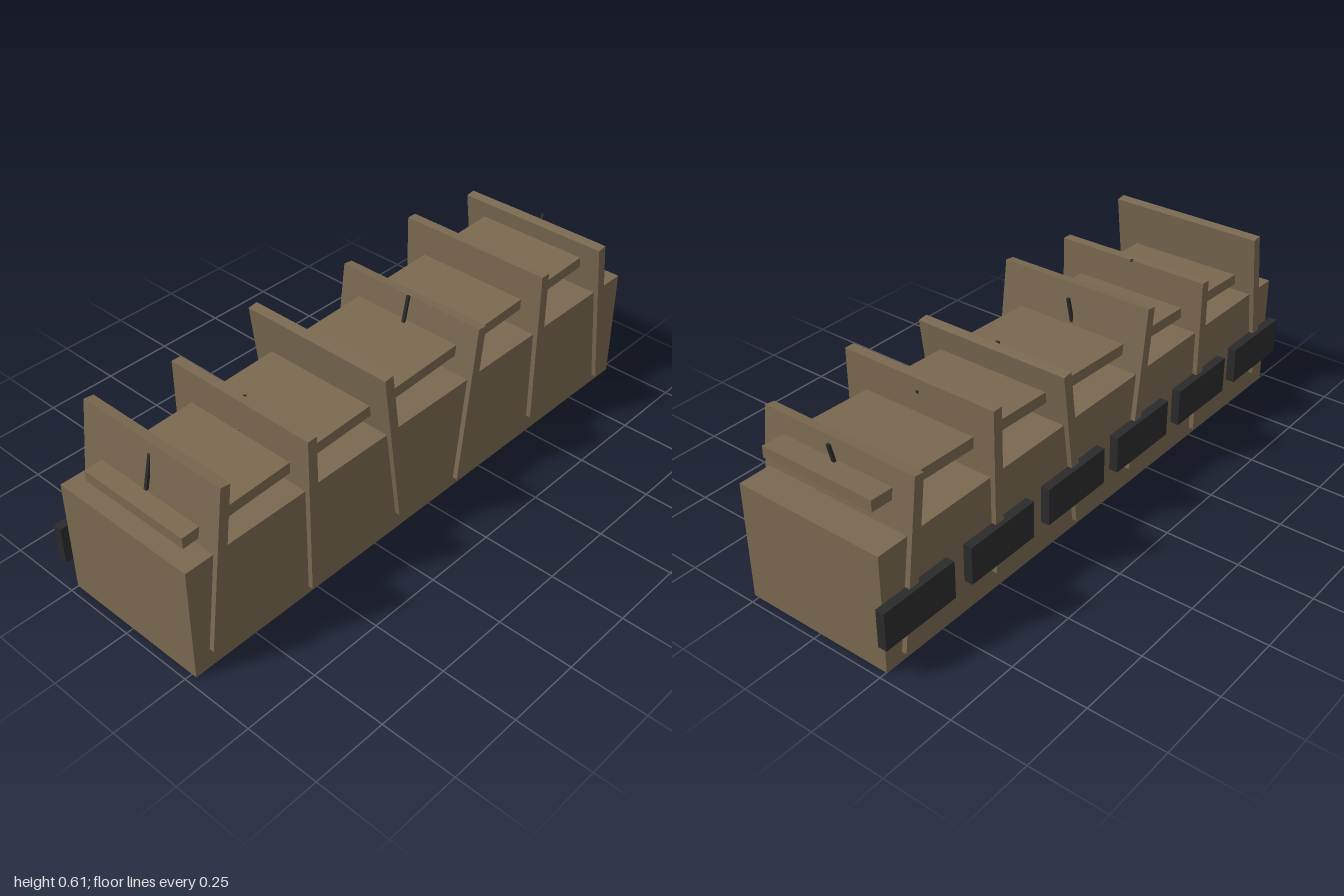
import * as THREE from 'three';

export function createModel() {
  const model = new THREE.Group();
  const wood = new THREE.MeshStandardMaterial({ color: 0x7a6950 });
  wood.name = 'brown wood';
  const dark = new THREE.MeshStandardMaterial({ color: 0x2b2b2b });
  dark.name = 'dark metal';

  const midZ = 0.008;
  function addBox(name, material, size, position, tilt = 0) {
    const mesh = new THREE.Mesh(new THREE.BoxGeometry(...size), material);
    mesh.name = name;
    mesh.position.set(...position);
    mesh.rotation.z = tilt;
    model.add(mesh);
  }

  // Main crate and the slightly sloping plank above it
  addBox('crate', wood, [1.95, 0.392, 0.519], [0, 0.196, midZ]);
  addBox('slopingPlank', wood, [1.86, 0.037, 0.403], [0, 0.463, midZ], 0.036);

  // Six bays, each with an upright board, a thin pin and a back plate
  const tilts = [-0.13, 0, 0.13, -0.13, 0, 0.13];
  const heights = [0.338, 0.3, 0.338, 0.3, 0.338, 0.3];
  const boardX = [-0.867, -0.519, -0.176, 0.171, 0.515, 0.861];
  tilts.forEach((tilt, i) => {
    const x = (i - 2.5) * 0.345;
    addBox('uprightBoard', wood, [0.034, 0.547, 0.552], [boardX[i], heights[i], midZ], tilt);
    addBox('pin', dark, [0.009, 0.113, 0.01], [x - 0.001, 0.519, midZ], -0.24);
    addBox('backPlate', dark, [0.275, 0.127, 0.03], [x, 0.174, -0.268]);
  });

  return model;
}
